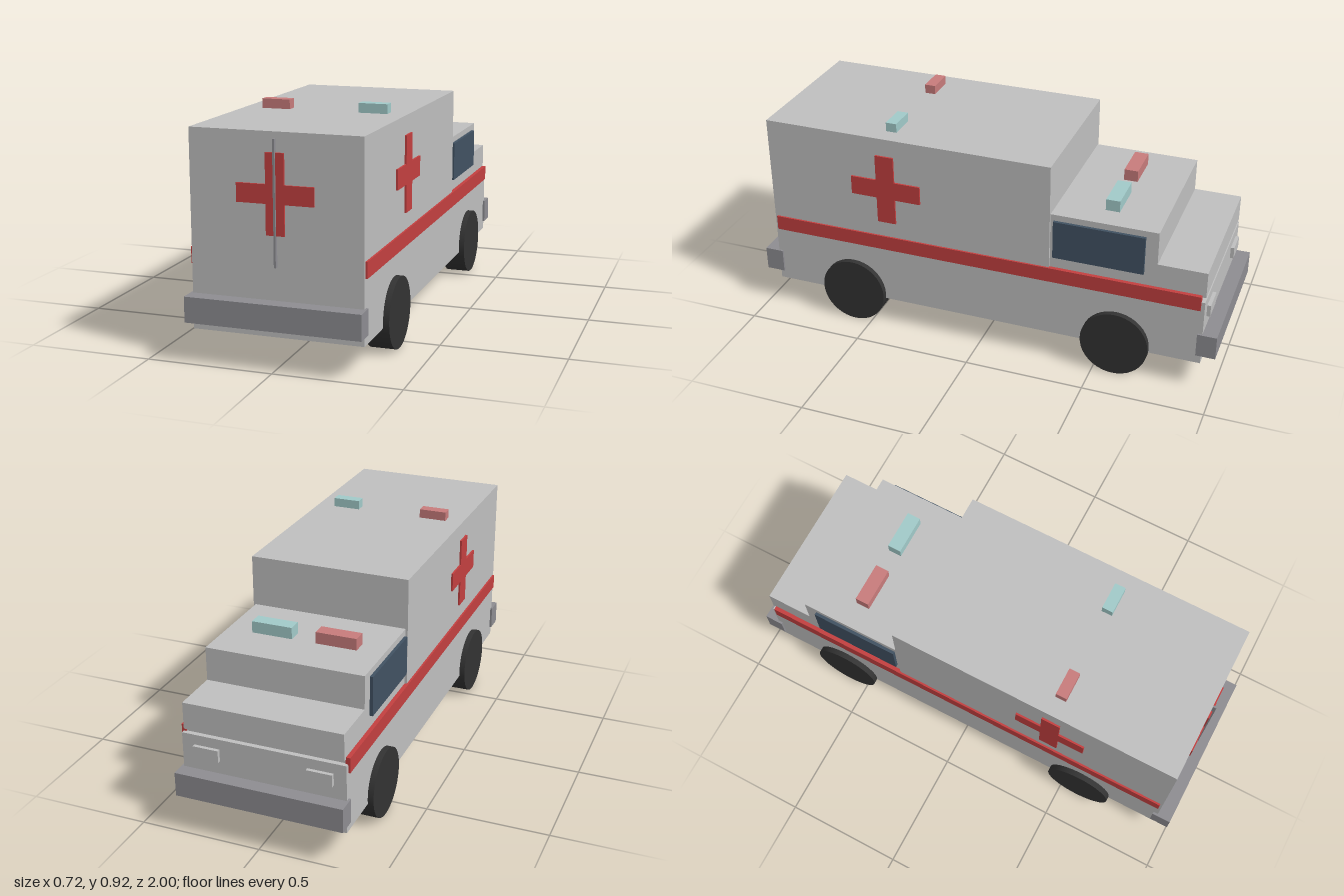
import * as THREE from 'three';

const material = (name, color) => {
  const m = new THREE.MeshStandardMaterial({ color });
  m.name = name;
  return m;
};

export function createModel() {
  const group = new THREE.Group();
  group.name = 'ambulance';
  const white = material('bodyPaint', 0xc0c0c0);
  const red = material('redTrim', 0xc44040);
  const grey = material('bumperGrey', 0x8e8d92);
  const black = material('tyreBlack', 0x333333);
  const glass = material('windowGlass', 0x415263);
  const redLamp = material('redLamp', 0xc87c7c);
  const blueLamp = material('blueLamp', 0xa2cbca);

  const add = (name, geometry, mat) => {
    const mesh = new THREE.Mesh(geometry, mat);
    mesh.name = name;
    group.add(mesh);
    return mesh;
  };
  // Box given by its minimum and maximum along each axis
  const box = (name, mat, [x0, x1], [y0, y1], [z0, z1]) => {
    const mesh = add(name, new THREE.BoxGeometry(x1 - x0, y1 - y0, z1 - z0), mat);
    mesh.position.set((x0 + x1) / 2, (y0 + y1) / 2, (z0 + z1) / 2);
    return mesh;
  };
  const wide = [-0.336, 0.336], narrow = [-0.327, 0.327];

  // Body: patient compartment, lower nose, recessed seam, hood and cab
  box('patientCompartment', white, wide, [0.12, 0.885], [-0.3, 0.94]);
  box('lowerNose', white, wide, [0.12, 0.407], [-0.94, -0.3]);
  box('hoodSeam', white, narrow, [0.407, 0.425], [-0.92, -0.3]);
  box('hood', white, narrow, [0.425, 0.536], [-0.94, -0.3]);
  box('cab', white, narrow, [0.536, 0.675], [-0.74, -0.3]);

  // Bumpers
  box('rearBumper', grey, [-0.345, 0.345], [0.16, 0.26], [0.92, 1]);
  box('frontBumper', grey, [-0.345, 0.345], [0.16, 0.26], [-1, -0.92]);

  // Plus-shaped plate, centred on its origin
  const crossGeometry = (length, height, arm) => {
    const a = length / 2, b = height / 2, t = arm / 2;
    const points = [[-t, -b], [t, -b], [t, -t], [a, -t], [a, t], [t, t],
      [t, b], [-t, b], [-t, t], [-a, t], [-a, -t], [-t, -t]];
    const shape = new THREE.Shape(points.map(([x, y]) => new THREE.Vector2(x, y)));
    return new THREE.ExtrudeGeometry(shape, { depth: 0.009, bevelEnabled: false });
  };

  // Rear cross and the door seam rod over it
  add('rearCross', crossGeometry(0.3, 0.305, 0.072), red).position.set(0, 0.657, 0.939);
  box('rearDoorSeam', grey, [-0.004, 0.004], [0.387, 0.86], [0.935, 0.955]);

  for (const side of [-1, 1]) {
    const label = side > 0 ? 'left' : 'right';
    const span = (a, b) => (side > 0 ? [a, b] : [-b, -a]);

    // Side markings and cab window
    const cross = add(label + 'Cross', crossGeometry(0.305, 0.305, 0.08), red);
    cross.rotation.y = side * Math.PI / 2;
    cross.position.set(side * 0.335, 0.657, 0.408);
    box(label + 'Stripe', red, span(0.325, 0.344), [0.371, 0.434], [-0.925, 0.93]);
    box(label + 'Window', glass, span(0.325, 0.34), [0.485, 0.649], [-0.689, -0.314]);

    // Headlights
    box(label + 'Headlight', white, span(0.18, 0.285), [0.315, 0.365], [-0.955, -0.935]);

    // Warning lamps on the roof and the cab
    const lamp = side > 0 ? blueLamp : redLamp;
    box(label + 'RoofLamp', lamp, span(0.143, 0.26), [0.88, 0.923], [0.384, 0.43]);
    box(label + 'CabLamp', lamp, span(0.05, 0.22), [0.67, 0.723], [-0.552, -0.494]);

    // Wheels
    for (const [end, z] of [['Front', -0.587], ['Rear', 0.576]]) {
      const wheel = add(label + end + 'Wheel', new THREE.CylinderGeometry(0.142, 0.142, 0.1, 40), black);
      wheel.rotation.z = Math.PI / 2;
      wheel.position.set(side * 0.31, 0.142, z);
    }
  }
  return group;
}
